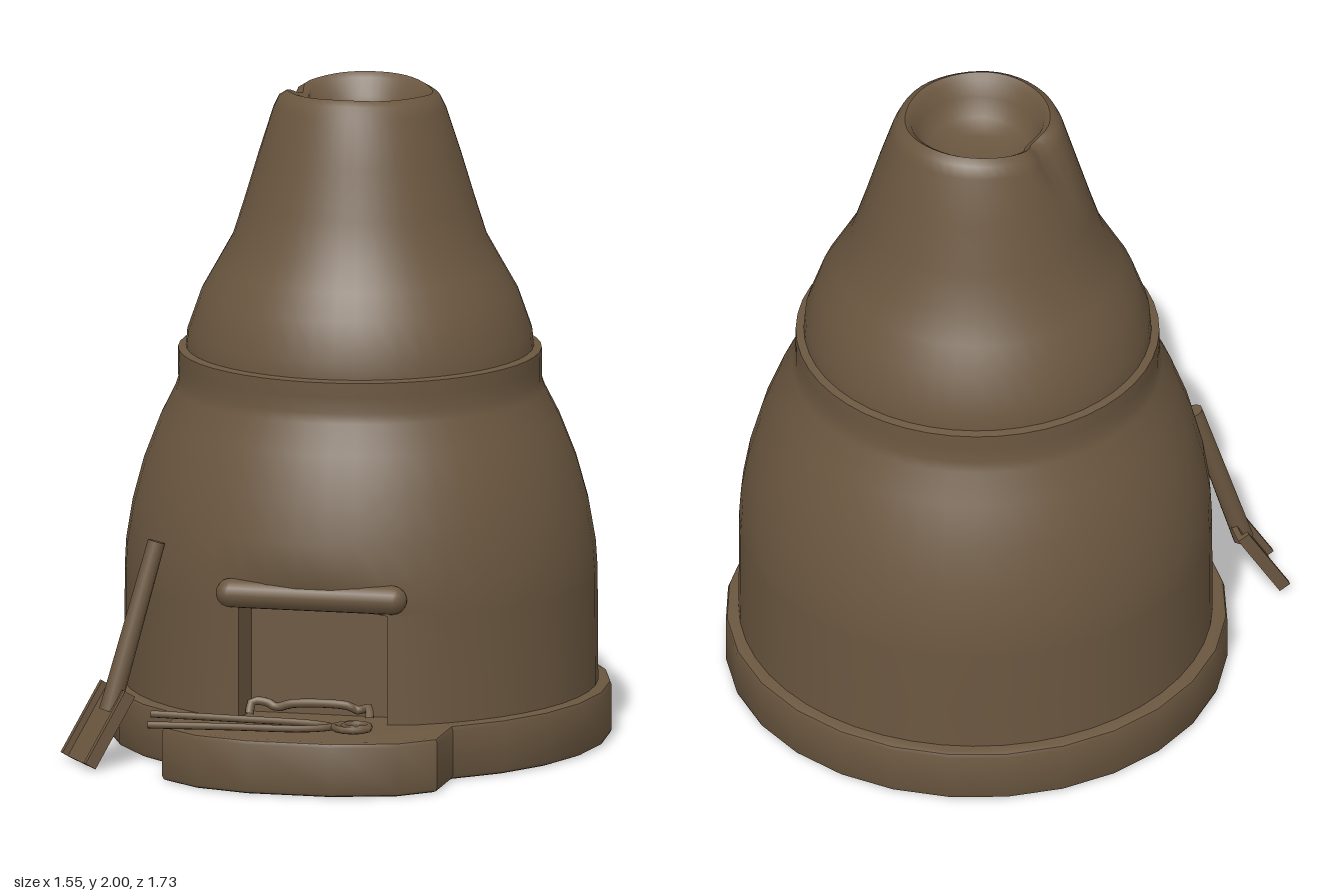
import * as THREE from 'three';
import { toCreasedNormals } from 'three/addons/utils/BufferGeometryUtils.js';

const V = (x, y, z) => new THREE.Vector3(x, y, z);

export function createModel() {
  const group = new THREE.Group();
  const clay = new THREE.MeshStandardMaterial({ color: 0x6b5740 });
  clay.name = 'brown clay';

  const add = (name, geometry, parent = group) => {
    const mesh = new THREE.Mesh(geometry, clay);
    mesh.name = name;
    parent.add(mesh);
    return mesh;
  };
  const tube = (points, radius, sides = 8) =>
    new THREE.TubeGeometry(new THREE.CatmullRomCurve3(points), 24, radius, sides);
  // straight round rod between two points
  const rod = (a, b, r0, r1) => {
    const d = b.clone().sub(a);
    const g = new THREE.CylinderGeometry(r1, r0, d.length(), 10);
    g.applyQuaternion(new THREE.Quaternion().setFromUnitVectors(V(0, 1, 0), d.normalize()));
    return g.translate((a.x + b.x) / 2, (a.y + b.y) / 2, (a.z + b.z) / 2);
  };

  // round plinth with a hearth apron in front
  const outline = [];
  for (let i = 0; i <= 22; i++) {
    const a = 0.6 + (i / 22) * (2 * Math.PI - 1.2);
    outline.push(new THREE.Vector2(0.005 + 0.76 * Math.sin(a), 0.105 - 0.76 * Math.cos(a)));
  }
  for (const [x, z] of [[-0.42, 0.73], [-0.3, 0.82], [-0.13, 0.867], [0.13, 0.867], [0.33, 0.81], [0.43, 0.72]])
    outline.push(new THREE.Vector2(x, -z));
  const base = new THREE.ExtrudeGeometry(new THREE.Shape(outline), {
    depth: 0.138, bevelEnabled: true, bevelThickness: 0.015, bevelSize: 0.015, bevelOffset: -0.015, bevelSegments: 2,
  });
  base.rotateX(-Math.PI / 2).translate(0, 0.015, 0);
  add('plinth', toCreasedNormals(base, 0.7));

  // bell-shaped body, collar, chimney and its hollow mouth
  const profile = [
    [0.718, 0.1], [0.717, 0.17], [0.716, 0.3], [0.715, 0.503], [0.715, 0.515], [0.71, 0.6], [0.69, 0.72],
    [0.655, 0.85], [0.605, 0.98], [0.56, 1.07], [0.55, 1.1], [0.551, 1.15], [0.55, 1.195], [0.526, 1.2],
    [0.522, 1.25], [0.48, 1.37], [0.435, 1.45], [0.385, 1.54], [0.35, 1.65], [0.305, 1.8], [0.262, 1.95],
    [0.245, 1.985], [0.22, 2.0], [0.2, 1.985], [0.185, 1.93], [0.15, 1.88], [0.08, 1.86], [0, 1.855],
  ].map(([r, y]) => new THREE.Vector2(r, y));
  const segs = 48;
  const body = new THREE.LatheGeometry(profile, segs, Math.PI / segs, Math.PI * 2);
  const p = body.attributes.position;
  for (let i = 0; i < p.count; i++) {
    let x = p.getX(i), y = p.getY(i), z = p.getZ(i);
    const angle = Math.atan2(x, z);
    // worn rim with a chip on one side
    if (y > 1.94) {
      const chip = Math.exp(-Math.pow((angle + 1.75) / 0.2, 2));
      y -= 0.022 * Math.sin(angle) ** 2 * (0.7 + 0.3 * Math.cos(3 * angle)) + 0.02 * chip;
      x += 0.03 * chip;
    }
    z += THREE.MathUtils.lerp(-0.104, -0.086, THREE.MathUtils.clamp((y - 0.5) / 0.7, 0, 1));
    // flattened front with the fire opening pushed in
    if (y < 0.52 && z > 0) {
      z = Math.min(z, 0.56);
      const ax = Math.abs(x);
      if (y < 0.51 && ax < 0.18) {
        z = 0.45;
        if (ax > 0.1) x = Math.sign(x) * 0.215;
      }
    }
    p.setXYZ(i, x + 0.008, y, z);
  }
  add('body', toCreasedNormals(body, 0.75));

  // rounded lintel over the opening
  const lintel = new THREE.CapsuleGeometry(0.045, 0.5, 6, 12);
  lintel.rotateZ(Math.PI / 2).translate(0.005, 0.555, 0.565);
  add('lintel', lintel);

  // shovel leaning against the side
  const shovel = new THREE.Group();
  shovel.name = 'shovel';
  group.add(shovel);
  const top = V(-0.607, 0.22, 0.485), tip = V(-0.71, 0.012, 0.56);
  add('shovelHandle', rod(V(-0.635, 0.16, 0.505), V(-0.51, 0.67, 0.41), 0.032, 0.027), shovel);
  const blade = new THREE.Group();
  blade.name = 'shovelBlade';
  const up = top.clone().sub(tip).normalize();
  const side = V(0.59, 0, 0.8).normalize();
  const out = side.clone().cross(up).normalize();
  side.crossVectors(up, out);
  blade.quaternion.setFromRotationMatrix(new THREE.Matrix4().makeBasis(side, up, out));
  blade.position.copy(top).add(tip).multiplyScalar(0.5);
  shovel.add(blade);
  add('bladePlate', new THREE.BoxGeometry(0.19, 0.25, 0.018), blade);
  for (const s of [-1, 1])
    add('bladeEdge', new THREE.BoxGeometry(0.016, 0.25, 0.035), blade).position.set(s * 0.087, 0, 0.012);

  // fire tongs lying on the apron
  const tongs = new THREE.Group();
  tongs.name = 'tongs';
  group.add(tongs);
  add('tongArm', tube([V(-0.455, 0.205, 0.73), V(-0.2, 0.198, 0.71), V(0.04, 0.187, 0.68),
    V(0.1, 0.185, 0.7), V(0.13, 0.185, 0.74), V(0.19, 0.185, 0.745), V(0.215, 0.185, 0.71)], 0.011), tongs);
  add('tongArm', tube([V(-0.445, 0.19, 0.82), V(-0.2, 0.188, 0.785), V(0.02, 0.185, 0.752),
    V(0.09, 0.185, 0.715), V(0.13, 0.185, 0.66), V(0.18, 0.185, 0.65), V(0.215, 0.185, 0.68)], 0.011), tongs);
  const ring = new THREE.TorusGeometry(0.038, 0.012, 8, 16);
  ring.rotateX(Math.PI / 2).translate(0.175, 0.187, 0.7);
  add('tongRing', ring, tongs);

  // small bent poker in the opening
  add('poker', tube([V(-0.18, 0.19, 0.6), V(-0.175, 0.225, 0.58), V(-0.13, 0.225, 0.575), V(-0.1, 0.212, 0.58),
    V(-0.05, 0.225, 0.58), V(0.12, 0.225, 0.575), V(0.15, 0.21, 0.565), V(0.185, 0.22, 0.57), V(0.19, 0.19, 0.59)], 0.014));

  return group;
}
